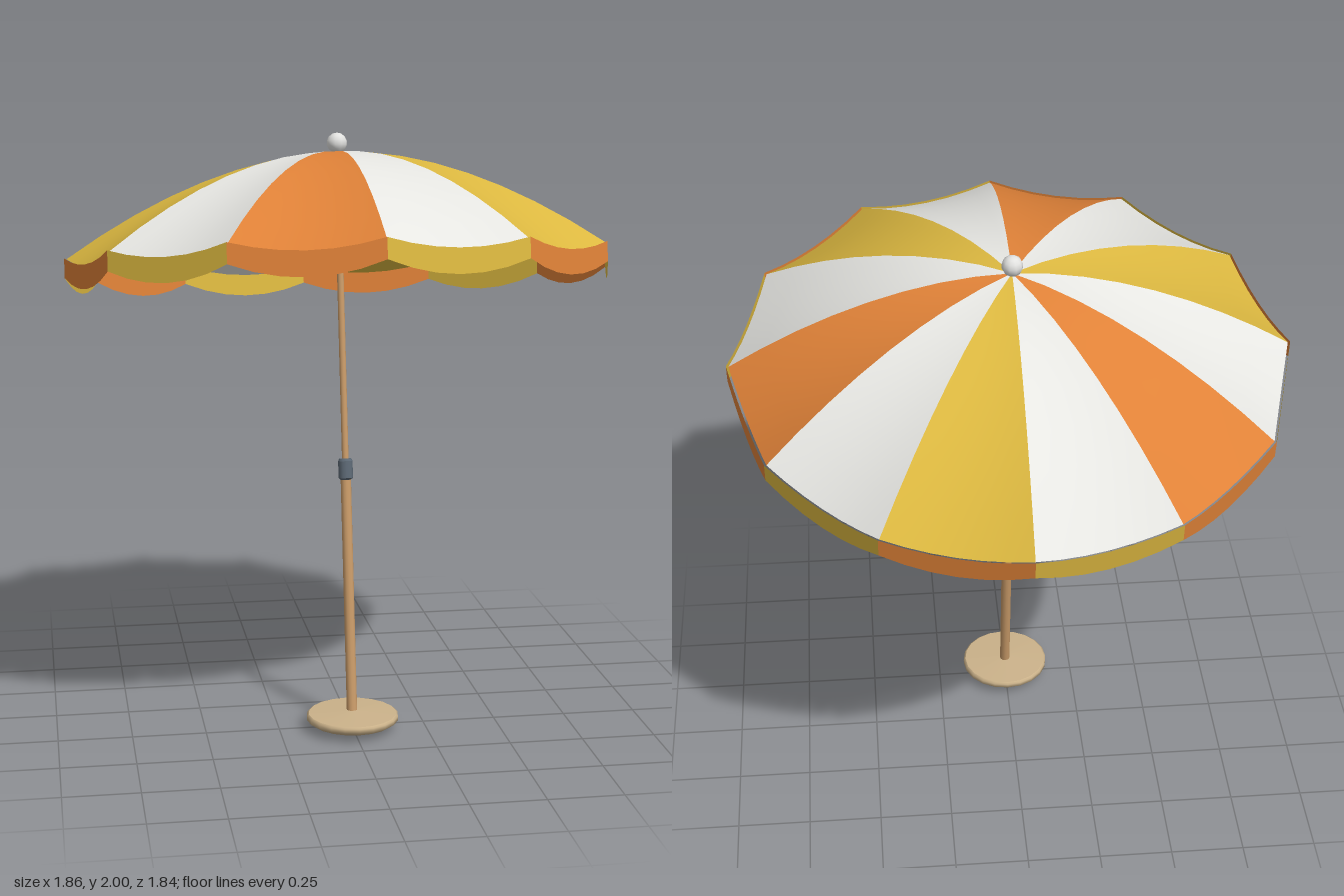
import * as THREE from 'three';

const mat = (name, color, extra = {}) => Object.assign(new THREE.MeshStandardMaterial({ color, ...extra }), { name });

const PANELS = 12;
const STEP = (Math.PI * 2) / PANELS;
const RIM = 0.922;
const APEX = 1.965;
const DROP = 0.345;
const SAG = 0.032;

// height of a seam above the pole foot at radius r
const seamY = (r) => APEX - DROP * Math.pow(r / RIM, 1.85);
const bow = (u) => 4 * u * (1 - u);

// point on the straight chord between two neighbouring seams
function chord(k, u, r, y) {
  const a = k * STEP, b = a + STEP;
  return [
    r * (Math.sin(a) * (1 - u) + Math.sin(b) * u),
    y,
    r * (Math.cos(a) * (1 - u) + Math.cos(b) * u),
  ];
}

// smooth sheet from a point function of (u, v)
function sheet(nu, nv, point) {
  const pos = [], idx = [];
  for (let i = 0; i <= nu; i++)
    for (let j = 0; j <= nv; j++) pos.push(...point(i / nu, j / nv));
  for (let i = 0; i < nu; i++)
    for (let j = 0; j < nv; j++) {
      const a = i * (nv + 1) + j, b = a + nv + 1;
      idx.push(a, a + 1, b, b, a + 1, b + 1);
    }
  const g = new THREE.BufferGeometry();
  g.setAttribute('position', new THREE.Float32BufferAttribute(pos, 3));
  g.setIndex(idx);
  g.computeVertexNormals();
  return g;
}

export function createModel() {
  const model = new THREE.Group();
  model.name = 'parasol';

  const both = { side: THREE.DoubleSide };
  const white = mat('whiteCloth', 0xe6e6e2, both);
  const orange = mat('orangeCloth', 0xe08238, both);
  const yellow = mat('yellowCloth', 0xdcb840, both);
  const wood = mat('poleWood', 0xc89a68);
  const stone = mat('baseTan', 0xcbb28a);
  const steel = mat('collarSteel', 0x5c6874);
  const ribGrey = mat('ribGrey', 0x9a9ea2);
  const knob = mat('knobWhite', 0xe2e2e0);

  const add = (parent, name, geometry, material, y = 0) => {
    const m = new THREE.Mesh(geometry, material);
    m.name = name;
    m.position.y = y;
    parent.add(m);
    return m;
  };
  const v2 = (pts) => pts.map(([x, y]) => new THREE.Vector2(x, y));

  // flat foot disc, level on the ground
  const foot = add(model, 'base', new THREE.LatheGeometry(v2([
    [0, 0.008], [0.08, 0.011], [0.14, 0.022], [0.157, 0.034],
    [0.157, 0.048], [0.15, 0.054], [0.15, 0.054], [0, 0.062],
  ]), 20), stone);
  foot.position.z = 0.272;

  // everything else leans back along the pole
  const lean = new THREE.Group();
  lean.name = 'leaningParasol';
  lean.position.z = 0.272;
  lean.rotation.x = -THREE.MathUtils.degToRad(10);
  model.add(lean);

  // two-stage pole with its joining collar
  add(lean, 'lowerPole', new THREE.CylinderGeometry(0.018, 0.018, 0.86, 12), wood, 0.433);
  add(lean, 'upperPole', new THREE.CylinderGeometry(0.0115, 0.0115, 1.09, 12), wood, 1.4);
  add(lean, 'collar', new THREE.LatheGeometry(v2([
    [0.017, 0.85], [0.025, 0.857], [0.025, 0.857], [0.025, 0.915],
    [0.025, 0.915], [0.021, 0.923], [0.021, 0.923], [0.01, 0.923],
  ]), 12), steel);

  // hub under the cloth and knob on top
  add(lean, 'hub', new THREE.CylinderGeometry(0.03, 0.03, 0.1, 10), knob, 1.905);
  add(lean, 'finial', new THREE.SphereGeometry(0.035, 10, 7), knob, 1.996);

  for (let k = 0; k < PANELS; k++) {
    // cloth panel, sagging between its seams towards the rim
    const colour = k % 2 === 0 ? white : k % 4 === 1 ? yellow : orange;
    add(lean, 'canopyPanel', sheet(6, 8, (u, t) => {
      const r = Math.max(t, 0.005) * RIM;
      return chord(k, u, r, seamY(r) - SAG * bow(u) * t * t);
    }), colour);

    // hanging valance with a scalloped lower edge
    add(lean, 'valance', sheet(6, 1, (u, v) =>
      chord(k, u, RIM + 0.008, APEX - DROP + 0.003 - SAG * bow(u) - v * (0.066 + 0.014 * bow(u)))
    ), k % 2 === 0 ? yellow : orange);

    // rib beneath the seam
    const pts = [];
    for (let i = 0; i <= 6; i++) {
      const r = 0.03 + (RIM - 0.035) * (i / 6);
      pts.push(new THREE.Vector3(Math.sin(k * STEP) * r, seamY(r) - 0.008, Math.cos(k * STEP) * r));
    }
    add(lean, 'rib', new THREE.TubeGeometry(new THREE.CatmullRomCurve3(pts), 10, 0.005, 5), ribGrey);
  }

  return model;
}
